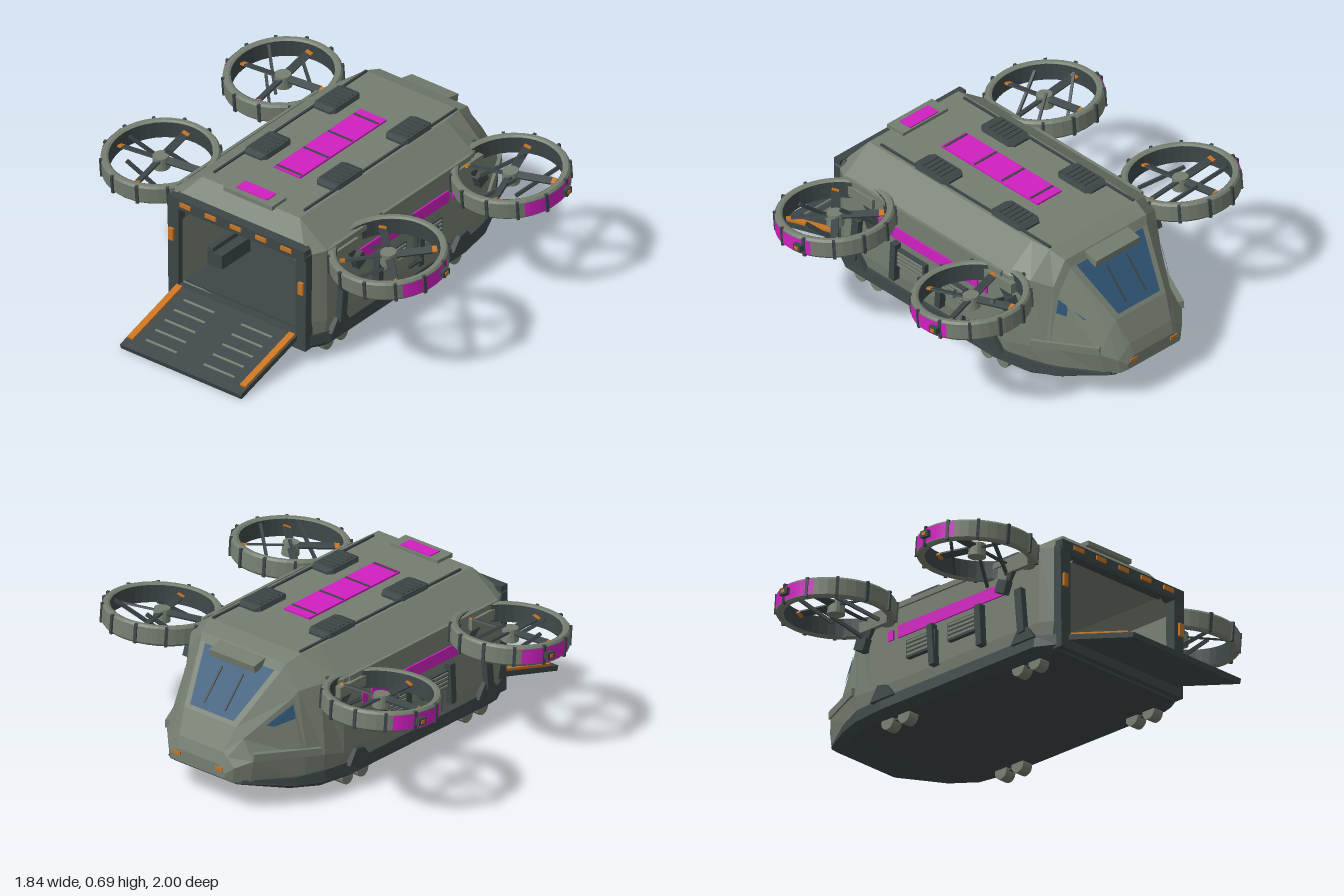
import * as THREE from 'three';

const flat = (color, name) => {
  const m = new THREE.MeshStandardMaterial({ color, flatShading: true, side: THREE.DoubleSide });
  m.name = name;
  return m;
};

export function createModel() {
  const grey = flat(0x757d70, 'hull grey'), dark = flat(0x3d4648, 'dark trim');
  const pink = flat(0xd020c0, 'magenta panel'), orange = flat(0xc87420, 'orange marker');
  const blue = flat(0x2f5676, 'blue glass');
  const model = new THREE.Group();
  model.name = 'cargoAircraft';

  const add = (name, geo, mat, parent = model) => {
    const m = new THREE.Mesh(geo, mat);
    m.name = name;
    parent.add(m);
    return m;
  };
  const box = (name, mat, w, h, d, x, y, z, parent = model) => {
    const m = add(name, new THREE.BoxGeometry(w, h, d), mat, parent);
    m.position.set(x, y, z);
    return m;
  };
  // Bar of section w x h between two points
  const beam = (name, mat, w, h, a, b, parent = model) => {
    const A = new THREE.Vector3(...a), B = new THREE.Vector3(...b);
    const m = box(name, mat, w, h, A.distanceTo(B), 0, 0, 0, parent);
    m.position.copy(A).add(B).multiplyScalar(0.5);
    m.lookAt(B);
    return m;
  };
  const surface = (points, index) => {
    const g = new THREE.BufferGeometry();
    g.setAttribute('position', new THREE.Float32BufferAttribute(points, 3));
    g.setIndex(index);
    const out = g.toNonIndexed();
    out.computeVertexNormals();
    return out;
  };
  // Mirrored cross-sections [z, x, y, x, y, ...] (bottom to top) joined in order
  const loft = (sections, capFirst, capLast) => {
    const pts = [], idx = [], half = (sections[0].length - 1) / 2, n = half * 2;
    for (const [z, ...p] of sections) {
      for (let i = 0; i < half; i++) pts.push(p[2 * i], p[2 * i + 1], z);
      for (let i = half - 1; i >= 0; i--) pts.push(-p[2 * i], p[2 * i + 1], z);
    }
    for (let s = 0; s < sections.length - 1; s++) for (let i = 0; i < n; i++) {
      const a = s * n + i, b = s * n + (i + 1) % n, c = a + n, d = b + n;
      idx.push(a, c, b, b, c, d);
    }
    const last = (sections.length - 1) * n;
    for (let i = 1; i < n - 1; i++) {
      if (capFirst) idx.push(0, i, i + 1);
      if (capLast) idx.push(last, last + i + 1, last + i);
    }
    return surface(pts, idx);
  };

  // Hull with faceted nose, belly and cargo bay
  add('hull', loft([
    [0.56, 0.37, 0.13, 0.38, 0.2, 0.385, 0.55, 0.34, 0.585],
    [0.5, 0.41, 0.13, 0.42, 0.2, 0.42, 0.555, 0.27, 0.665],
    [-0.52, 0.41, 0.13, 0.42, 0.2, 0.42, 0.555, 0.27, 0.665],
    [-0.62, 0.385, 0.13, 0.4, 0.22, 0.375, 0.555, 0.26, 0.665],
    [-0.7, 0.355, 0.13, 0.365, 0.235, 0.315, 0.53, 0.245, 0.64],
    [-0.72, 0.345, 0.13, 0.355, 0.24, 0.3, 0.5, 0.23, 0.605],
    [-0.92, 0.23, 0.14, 0.25, 0.25, 0.19, 0.34, 0.15, 0.385],
    [-0.98, 0.18, 0.15, 0.19, 0.22, 0.15, 0.26, 0.125, 0.28],
    [-1, 0.15, 0.165, 0.155, 0.19, 0.135, 0.21, 0.115, 0.225],
  ], false, true), grey);
  add('belly', loft([
    [0.57, 0.35, 0.06, 0.38, 0.085, 0.38, 0.135],
    [0.48, 0.39, 0.05, 0.43, 0.085, 0.425, 0.14],
    [-0.45, 0.39, 0.055, 0.43, 0.085, 0.425, 0.14],
    [-0.62, 0.37, 0.062, 0.405, 0.09, 0.4, 0.145],
    [-0.75, 0.31, 0.078, 0.35, 0.1, 0.345, 0.14],
    [-0.95, 0.18, 0.128, 0.215, 0.14, 0.21, 0.155],
  ], true, true), dark);
  add('cargoBay', loft([
    [-0.45, 0.325, 0.14, 0.325, 0.46, 0.27, 0.53],
    [0.57, 0.325, 0.14, 0.325, 0.46, 0.27, 0.53],
  ], true, false), grey);
  box('bayFloor', dark, 0.64, 0.008, 1, 0, 0.145, 0.06);

  // Rear door frame
  const frame = new THREE.Shape([[-0.38, 0.07], [0.38, 0.07], [0.385, 0.55], [0.36, 0.58], [-0.36, 0.58], [-0.385, 0.55]]
    .map(p => new THREE.Vector2(...p)));
  frame.holes.push(new THREE.Path([[-0.325, 0.14], [-0.325, 0.525], [0.325, 0.525], [0.325, 0.14]]
    .map(p => new THREE.Vector2(...p))));
  add('doorFrame', new THREE.ExtrudeGeometry(frame, { depth: 0.05, bevelEnabled: false }), dark).position.z = 0.55;
  box('doorHeader', dark, 0.76, 0.05, 0.04, 0, 0.557, 0.585);
  for (let i = -2; i <= 2; i++) box('headerLight', orange, 0.06, 0.02, 0.012, i * 0.14, 0.56, 0.606);

  // Loading ramp
  const ramp = new THREE.Group();
  ramp.name = 'ramp';
  ramp.position.set(0, 0.14, 0.595);
  ramp.rotation.x = 0.285;
  model.add(ramp);
  box('rampPlate', dark, 0.67, 0.024, 0.415, 0, -0.012, 0.208, ramp);
  for (const s of [-1, 1]) {
    box('rampEdge', orange, 0.032, 0.012, 0.36, s * 0.313, 0.004, 0.19, ramp);
    for (let i = 0; i < 5; i++) box('rampTread', grey, 0.17, 0.008, 0.01, s * 0.16, 0.002, 0.07 + i * 0.068, ramp);
  }

  // Windscreen with wipers and visor
  const glassY = z => 0.605 + (z + 0.72) * 1.1 + 0.006;
  add('windscreen', surface([
    -0.2, glassY(-0.725), -0.725, 0.2, glassY(-0.725), -0.725,
    0.125, glassY(-0.91), -0.91, -0.125, glassY(-0.91), -0.91,
  ], [0, 1, 2, 0, 2, 3]), blue);
  for (const x of [-0.06, 0.06])
    beam('wiper', dark, 0.009, 0.009, [x, glassY(-0.77), -0.77], [x, glassY(-0.89), -0.89]);
  box('visor', grey, 0.26, 0.035, 0.085, 0, 0.61, -0.735).rotation.x = -0.2;

  // Roof fittings
  box('roofPanel', pink, 0.145, 0.009, 0.6, 0, 0.67, -0.05);
  for (const z of [-0.3, -0.12, 0.05, 0.235]) box('roofPanelRib', dark, 0.135, 0.006, 0.01, 0, 0.675, z);
  box('roofHatch', grey, 0.27, 0.02, 0.1, 0, 0.67, 0.475);
  box('hatchPanel', pink, 0.17, 0.008, 0.065, 0, 0.681, 0.465);

  for (const s of [-1, 1]) {
    box('roofRail', dark, 0.01, 0.012, 1.06, s * 0.25, 0.668, -0.085);
    for (const z of [-0.345, 0.135]) {
      const vent = add('roofVent', loft([
        [z + 0.105, 0.045, 0.66, 0.04, 0.675], [z + 0.08, 0.065, 0.66, 0.055, 0.685],
        [z - 0.08, 0.065, 0.66, 0.055, 0.685], [z - 0.105, 0.045, 0.66, 0.04, 0.675],
      ], true, true), dark);
      vent.position.x = s * 0.2;
      for (let i = -2; i <= 2; i++) box('ventSlat', dark, 0.09, 0.006, 0.012, s * 0.2, 0.687, z + i * 0.028);
    }

    // Side wall fittings
    box('eave', grey, 0.014, 0.025, 0.98, s * 0.423, 0.55, 0);
    box('sideStripe', pink, 0.009, 0.058, 0.64, s * 0.423, 0.425, -0.02);
    box('stripeEnd', pink, 0.009, 0.045, 0.03, s * 0.423, 0.42, -0.385);
    for (const [z, top] of [[0.165, 0.16], [-0.12, -0.13]])
      beam('wallStrut', dark, 0.035, 0.032, [s * 0.437, 0.19, z + 0.005], [s * 0.437, 0.385, top]);
    beam('rearStrut', dark, 0.03, 0.04, [s * 0.435, 0.17, 0.42], [s * 0.435, 0.385, 0.4]);
    for (const z of [0.06, -0.19]) {
      box('wallGrille', dark, 0.025, 0.085, 0.175, s * 0.43, 0.315, z);
      for (let i = 0; i < 4; i++) box('grilleSlat', grey, 0.012, 0.011, 0.155, s * 0.443, 0.285 + i * 0.02, z);
    }
    for (const z of [0.42, -0.43]) {
      const fairing = new THREE.Shape([[-0.07, 0.13], [0.07, 0.13], [0.025, 0.2], [-0.025, 0.19]].map(p => new THREE.Vector2(...p)));
      const f = add('wheelFairing', new THREE.ExtrudeGeometry(fairing, { depth: 0.025, bevelEnabled: false }), dark);
      f.position.set(s * 0.427 - 0.0125, 0, z);
      f.rotation.y = Math.PI / 2;
      f.position.x = s * 0.427 - 0.0125;
    }
    box('postLight', orange, 0.026, 0.06, 0.02, s * 0.36, 0.39, 0.602);

    // Nose fittings; noseX gives the width of the sloping side
    const noseX = (z, y) => {
      const t = (-z - 0.72) / 0.2, y0 = 0.24 + 0.01 * t, y1 = 0.5 - 0.16 * t;
      const lo = 0.355 - 0.105 * t, hi = 0.3 - 0.11 * t;
      return lo + (hi - lo) * (y - y0) / (y1 - y0);
    };
    const pane = [[-0.725, 0.475], [-0.835, 0.393], [-0.81, 0.385], [-0.725, 0.41]];
    add('sideWindow', surface(pane.flatMap(([z, y]) => [s * (noseX(z, y) + 0.007), y, z]),
      [0, 1, 2, 0, 2, 3]), blue);
    beam('noseRail', grey, 0.025, 0.035, [s * 0.392, 0.245, -0.64], [s * 0.245, 0.27, -0.92]);
    box('noseLight', orange, 0.04, 0.016, 0.012, s * 0.12, 0.205, -0.998);

    // Seats inside the bay
    for (const z of [0.3, 0, -0.3]) {
      box('seat', dark, 0.08, 0.07, 0.2, s * 0.283, 0.183, z);
      box('seatBack', dark, 0.03, 0.03, 0.2, s * 0.308, 0.225, z);
    }

    // Landing wheels
    for (const z of [0.39, -0.4]) {
      box('wheelBracket', dark, 0.025, 0.035, 0.12, s * 0.355, 0.06, z);
      for (const d of [-0.05, 0.05]) {
        const w = add('wheel', new THREE.CylinderGeometry(0.036, 0.036, 0.055, 14), grey);
        w.rotation.z = Math.PI / 2;
        w.position.set(s * 0.355, 0.044, z + d);
      }
    }
  }

  // Ducted fans
  const ringProfile = [[0.228, -0.04], [0.238, -0.046], [0.254, -0.046], [0.262, -0.036], [0.262, 0.036],
    [0.254, 0.046], [0.238, 0.046], [0.228, 0.04]].map(p => new THREE.Vector2(...p));
  const makeFan = (s, z, spin) => {
    const fan = new THREE.Group();
    fan.name = 'ductedFan';
    fan.position.set(s * 0.632, 0.525, z);
    fan.rotation.x = 0.09;
    model.add(fan);
    add('ductRing', new THREE.LatheGeometry(ringProfile, 40), grey, fan);
    add('ductLiner', new THREE.CylinderGeometry(0.227, 0.227, 0.08, 40, 1, true), dark, fan);
    const start = THREE.MathUtils.degToRad(s > 0 ? 52 : 232);
    add('ductPanel', new THREE.CylinderGeometry(0.265, 0.265, 0.068, 12, 1, true, start, Math.PI / 3), pink, fan);
    for (let i = 0; i < 12; i++) {
      const a = (i + 0.5) * Math.PI / 6;
      box('ductClip', dark, 0.016, 0.09, 0.014, Math.cos(a) * 0.261, 0, Math.sin(a) * 0.261, fan).rotation.y = -a;
    }
    box('ductLamp', dark, 0.028, 0.03, 0.045, s * 0.268, 0, -0.05, fan);
    box('ductLampLens', orange, 0.012, 0.016, 0.02, s * 0.28, 0, -0.05, fan);
    add('hub', new THREE.CylinderGeometry(0.036, 0.04, 0.06, 16), grey, fan);
    for (const deg of [-34, 86, 206]) {
      const a = THREE.MathUtils.degToRad(deg);
      const x = -s * Math.cos(a) * 0.23, zz = Math.sin(a) * 0.23;
      beam('ductStrut', dark, 0.012, 0.016, [0, -0.02, 0], [x, -0.02, zz], fan);
    }
    const rotor = new THREE.Group();
    rotor.name = 'rotor';
    rotor.rotation.y = spin;
    fan.add(rotor);
    for (let i = 0; i < 4; i++) {
      const arm = new THREE.Group();
      arm.name = 'blade';
      arm.rotation.y = i * Math.PI / 2;
      rotor.add(arm);
      box('bladeBody', dark, 0.16, 0.009, 0.036, 0.112, 0.012, 0, arm).rotation.x = 0.35;
      box('bladeTip', orange, 0.022, 0.01, 0.032, 0.202, 0.012, 0, arm).rotation.x = 0.35;
    }
    // Mount joining duct to hull
    const inward = z < 0 ? 0.04 : 0.06;
    box('fanMount', grey, 0.06, 0.05, 0.18, s * 0.41, 0.51, z + inward);
    box('fanBracket', dark, 0.06, 0.06, 0.06, s * 0.425, 0.425, z - 0.03).rotation.x = 0.4;
    beam('fanArm', dark, 0.035, 0.035, [s * 0.41, 0.44, z - 0.02], [s * 0.42, 0.5, z + 0.02]);
  };
  makeFan(-1, -0.515, 0.09);
  makeFan(1, -0.515, 0.31);
  makeFan(-1, 0.335, 0.12);
  makeFan(1, 0.335, 0.8);

  return model;
}
